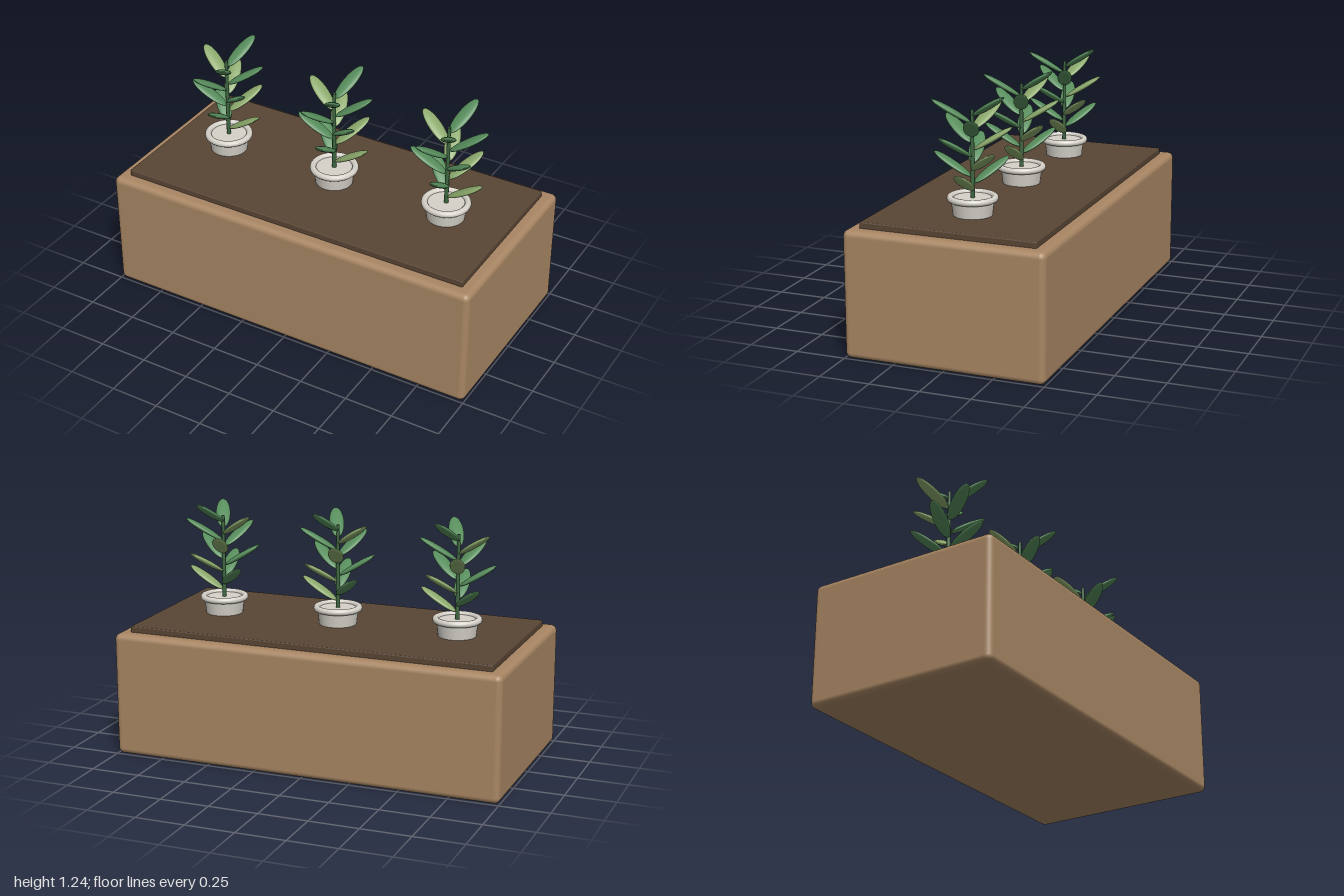
import * as THREE from 'three';
import { RoundedBoxGeometry } from 'three/addons/geometries/RoundedBoxGeometry.js';

const mat = (name, color) => {
  const m = new THREE.MeshStandardMaterial({ color });
  m.name = name;
  return m;
};

const wood = mat('tan wood', 0xa88663);
const earth = mat('dark soil', 0x584534);
const ceramic = mat('pale ceramic', 0xd6d2ca);
const stemGreen = mat('stem green', 0x3c6640);
const leafGreen = mat('leaf green', 0x568c5b);
const lightGreen = mat('light leaf green', 0x8ba86b);

function add(parent, name, geometry, material, x = 0, y = 0, z = 0) {
  const mesh = new THREE.Mesh(geometry, material);
  mesh.name = name;
  mesh.position.set(x, y, z);
  parent.add(mesh);
  return mesh;
}

// Shared plant geometry
const potGeo = new THREE.CylinderGeometry(0.104, 0.093, 0.09, 32);
const rimGeo = new THREE.TorusGeometry(0.106, 0.016, 12, 40).rotateX(Math.PI / 2);
const stemGeo = new THREE.CylinderGeometry(0.008, 0.011, 0.44, 12);
// Flattened ellipsoid leaf, pointing outward along +x and tilted upward
const leafGeo = new THREE.SphereGeometry(1, 20, 14)
  .rotateZ(-Math.PI / 2)
  .scale(0.106, 0.014, 0.037)
  .rotateZ(0.55)
  .translate(0.097, 0, 0);

function pottedPlant(x) {
  const plant = new THREE.Group();
  plant.name = 'pottedPlant';
  plant.position.x = x;
  add(plant, 'pot', potGeo, ceramic, 0, 0.692);
  add(plant, 'potRim', rimGeo, ceramic, 0, 0.736);
  add(plant, 'stem', stemGeo, stemGreen, 0, 0.938);
  // Leaves spiral up the stem by the golden angle
  for (let i = 0; i < 12; i++) {
    const leaf = add(plant, 'leaf', leafGeo, i % 3 === 0 ? lightGreen : leafGreen, 0, 0.828 + i * 0.0323);
    leaf.rotation.y = i * 2.4;
  }
  return plant;
}

export function createModel() {
  const model = new THREE.Group();
  model.name = 'planterBox';
  add(model, 'planter', new RoundedBoxGeometry(2, 0.625, 1, 4, 0.03), wood, 0, 0.3125);
  add(model, 'soil', new RoundedBoxGeometry(1.875, 0.06, 0.875, 3, 0.006), earth, 0, 0.625);
  for (const x of [-0.625, 0, 0.625]) model.add(pottedPlant(x));
  return model;
}
